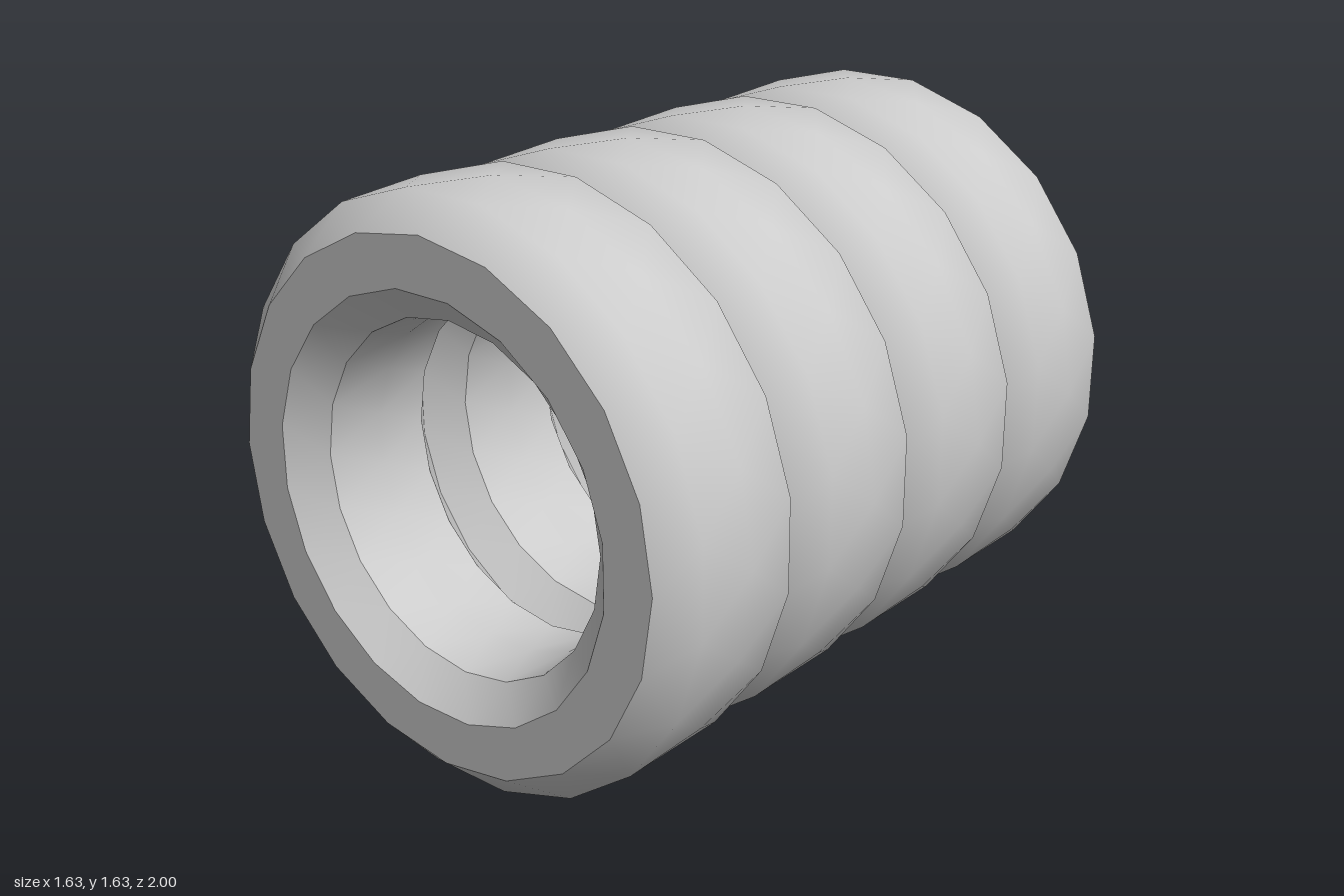
import * as THREE from 'three';
import { mergeVertices, toCreasedNormals } from 'three/addons/utils/BufferGeometryUtils.js';

const SIDES = 20;
const RADIUS = 0.815;
const RING_WIDTH = 0.5;

// Closed ring cross-section as [radius, offset along the axis]
const PROFILE = [
  [0.72, -0.25], [0.808, -0.165], [0.815, 0], [0.808, 0.165], [0.72, 0.25],
  [0.577, 0.25], [0.485, 0.165], [0.472, 0], [0.485, -0.165], [0.577, -0.25],
  [0.72, -0.25],
];

// Revolves part of the profile, each row staggered by half a side
function band(first, last, crease) {
  const points = PROFILE.slice(first, last + 1).map(([r, z]) => new THREE.Vector2(r, z));
  const geometry = new THREE.LatheGeometry(points, SIDES);
  const position = geometry.attributes.position;
  for (let v = 0; v < position.count; v++) {
    const row = v % points.length;
    const side = Math.floor(v / points.length) % SIDES;
    const angle = (side + (first + row) / 2) * 2 * Math.PI / SIDES;
    const { x: r, y } = points[row];
    position.setXYZ(v, r * Math.sin(angle), y, r * Math.cos(angle));
  }
  geometry.deleteAttribute('uv');
  geometry.deleteAttribute('normal');
  const welded = mergeVertices(geometry);
  welded.computeVertexNormals();
  welded.rotateX(Math.PI / 2);
  return crease ? toCreasedNormals(welded, crease) : welded;
}

export function createModel() {
  const model = new THREE.Group();
  model.name = 'ringStack';
  const material = new THREE.MeshStandardMaterial({ color: 0xcccccc });

  // Smooth outside, flat side faces, creased bore
  const parts = {
    outerSurface: band(0, 4),
    frontFace: band(4, 5),
    innerSurface: band(5, 9, 0.6),
    backFace: band(9, 10),
  };

  // Four identical rings side by side
  for (let i = 0; i < 4; i++) {
    const ring = new THREE.Group();
    ring.name = `ring${i + 1}`;
    ring.position.set(0, RADIUS, (i - 1.5) * RING_WIDTH);
    for (const [name, geometry] of Object.entries(parts)) {
      const mesh = new THREE.Mesh(geometry, material);
      mesh.name = name;
      ring.add(mesh);
    }
    model.add(ring);
  }
  return model;
}
